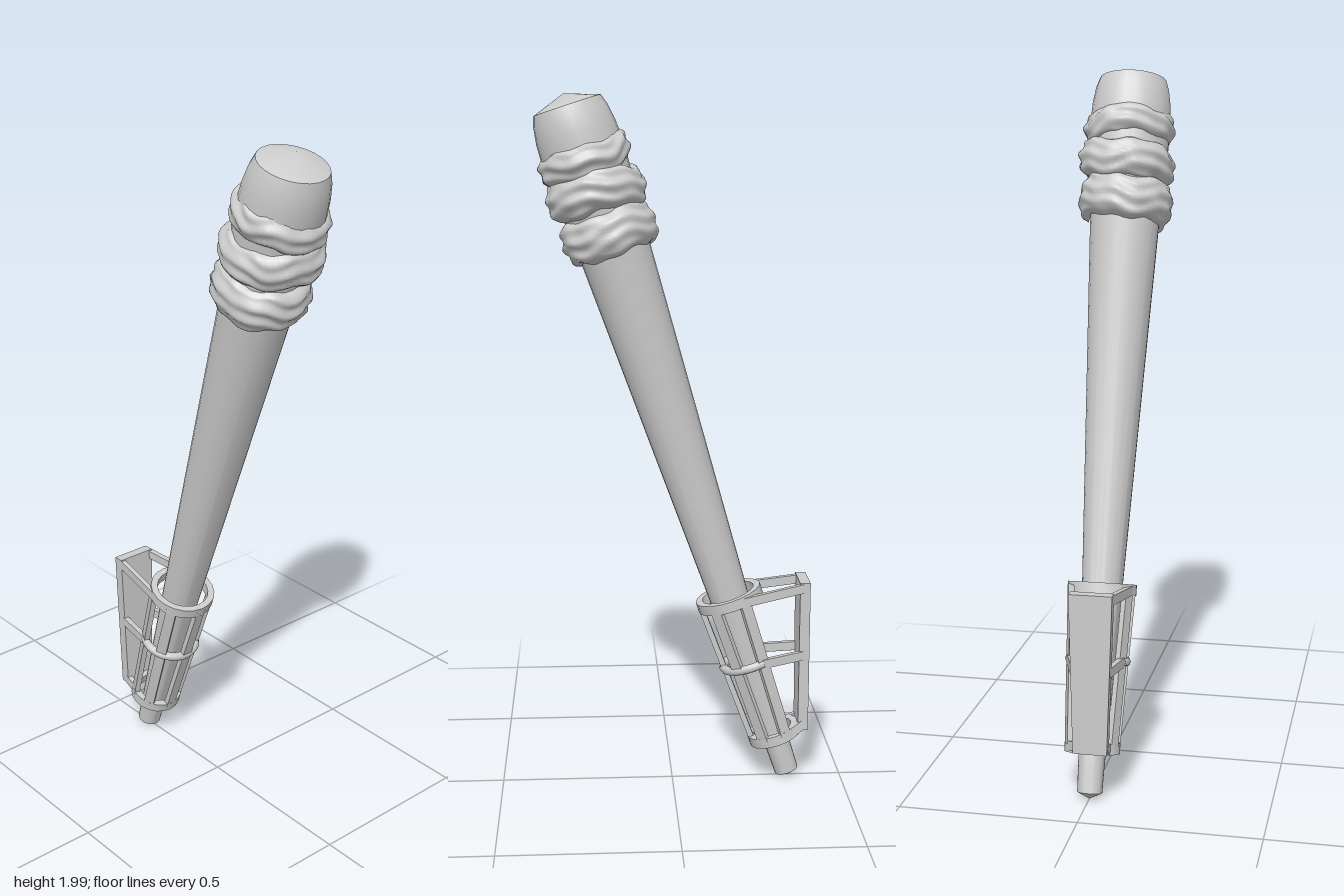
import * as THREE from 'three';
import { mergeVertices, toCreasedNormals } from 'three/addons/utils/BufferGeometryUtils.js';

const material = new THREE.MeshStandardMaterial({ color: 0xcccccc });
const TILT = 0.3128; // lean of the torch towards the front
const FOOT_Z = -0.349;

function addMesh(parent, name, geometry) {
  const mesh = new THREE.Mesh(geometry, material);
  mesh.name = name;
  parent.add(mesh);
  return mesh;
}

// Rectangular bar from a to b; "out" is the direction of its thickness
function bar(parent, name, a, b, width, depth, out) {
  const along = b.clone().sub(a);
  const length = along.length();
  const y = along.normalize();
  const x = new THREE.Vector3().crossVectors(y, out).normalize();
  const z = new THREE.Vector3().crossVectors(x, y);
  const geometry = new THREE.BoxGeometry(width, length, depth);
  geometry.applyMatrix4(new THREE.Matrix4().makeBasis(x, y, z));
  geometry.translate(...a.clone().add(b).multiplyScalar(0.5).toArray());
  return addMesh(parent, name, geometry);
}

// Cloth band: a closed lathe profile, crumpled by layered waves
function clothBand(radius, height, seed) {
  const profile = [];
  const steps = 16;
  for (let i = 0; i <= steps; i++) {
    const t = i / steps;
    const bulge = Math.pow(Math.sin(Math.PI * t), 0.4);
    profile.push(new THREE.Vector2(0.098 + (radius - 0.098) * bulge, (t - 0.5) * height));
  }
  let geometry = new THREE.LatheGeometry(profile, 56);
  geometry.deleteAttribute('uv');
  geometry.deleteAttribute('normal');
  geometry = mergeVertices(geometry, 1e-4);
  const p = geometry.attributes.position;
  for (let i = 0; i < p.count; i++) {
    const x = p.getX(i), y = p.getY(i), z = p.getZ(i);
    const a = Math.atan2(x, z);
    const fold = Math.sin(y * 150 + 2.2 * Math.sin(a * 2 + seed) + Math.sin(a * 5 + seed * 2));
    const crease = Math.sin(a * 9 + y * 70 + seed) * Math.sin(a * 4 - y * 50);
    const k = 1 + 0.028 * fold + 0.018 * crease;
    const lift = 0.005 * Math.sin(a * 3 + seed) + 0.003 * Math.sin(a * 7 - seed);
    p.setXYZ(i, x * k, y + lift, z * k);
  }
  geometry.computeVertexNormals();
  return geometry;
}

export function createModel() {
  const model = new THREE.Group();
  model.name = 'wallTorch';

  const torch = new THREE.Group();
  torch.name = 'torch';
  torch.position.z = FOOT_Z;
  torch.rotation.x = TILT;
  model.add(torch);

  // Tapered handle with a rounded head and shallow pointed ends
  const profile = [
    [0, 0.008], [0.035, 0.025], [0.037, 0.1], [0.1, 1.64], [0.111, 1.8],
    [0.117, 1.93], [0.114, 1.99], [0.107, 2.035], [0.097, 2.065], [0, 2.098],
  ].map(([r, y]) => new THREE.Vector2(r, y));
  addMesh(torch, 'handle', toCreasedNormals(new THREE.LatheGeometry(profile, 24), 0.7));

  // Cloth wrapping, each band slightly skewed
  const bands = [
    { y: 1.7, r: 0.134, h: 0.125, rx: 0.03, rz: 0.07, x: 0 },
    { y: 1.815, r: 0.139, h: 0.115, rx: -0.06, rz: 0.1, x: 0.004 },
    { y: 1.915, r: 0.131, h: 0.09, rx: 0.05, rz: -0.06, x: 0.002 },
  ];
  bands.forEach((b, i) => {
    const mesh = addMesh(torch, 'clothBand' + (i + 1), clothBand(b.r, b.h, 1 + i * 1.7));
    mesh.position.set(b.x, b.y, 0);
    mesh.rotation.set(b.rx, 0, b.rz);
  });

  // Basket of the holder, in line with the handle
  const basket = new THREE.Group();
  basket.name = 'holderBasket';
  torch.add(basket);
  const TOP = { y: 0.59, r: 0.088 }, MID = { y: 0.39, r: 0.08 }, LOW = { y: 0.15, r: 0.068 };
  const onRing = (ring, a) => new THREE.Vector3(Math.sin(a) * ring.r, ring.y, Math.cos(a) * ring.r);

  // Rims are square-section hoops
  for (const [name, ring] of [['upperRim', TOP], ['lowerRim', LOW]]) {
    const w = 0.01, h = 0.015;
    const section = [[-w, -h], [w, -h], [w, h], [-w, h], [-w, -h]]
      .map(([r, y]) => new THREE.Vector2(ring.r + r, ring.y + y));
    addMesh(basket, name, toCreasedNormals(new THREE.LatheGeometry(section, 20), 0.6));
  }

  // Middle hoop, open towards the wall
  const hoopEnd = THREE.MathUtils.degToRad(115);
  const hoopPoints = [];
  for (let i = 0; i <= 12; i++) hoopPoints.push(onRing(MID, -hoopEnd + (2 * hoopEnd * i) / 12));
  const hoop = new THREE.TubeGeometry(new THREE.CatmullRomCurve3(hoopPoints), 24, 0.013, 8);
  addMesh(basket, 'middleHoop', hoop);

  // Upright slats around the front and sides
  for (const deg of [-115, -58, 0, 58, 115]) {
    const a = THREE.MathUtils.degToRad(deg);
    const out = new THREE.Vector3(Math.sin(a), 0, Math.cos(a));
    bar(basket, 'slat', onRing(LOW, a), onRing(TOP, a), 0.032, 0.016, out);
  }

  // Upright wall plate, narrower at the bottom
  const plateShape = new THREE.Shape();
  plateShape.moveTo(-0.06, 0.16);
  plateShape.lineTo(0.035, 0.16);
  plateShape.lineTo(0.045, 0.612);
  plateShape.lineTo(-0.075, 0.612);
  plateShape.closePath();
  const plate = new THREE.ExtrudeGeometry(plateShape, { depth: 0.03, bevelEnabled: false });
  plate.translate(0, 0, -0.4);
  addMesh(model, 'wallPlate', plate);

  // Arms joining the basket to the plate on both sides
  torch.updateMatrix();
  const arms = [
    ['upperArm', TOP, 0.597, 0.052, 100],
    ['middleArm', MID, 0.392, 0.047, 112],
    ['lowerArm', LOW, 0.175, 0.04, 130],
  ];
  for (const side of [-1, 1]) {
    for (const [name, ring, plateY, halfWidth, deg] of arms) {
      const start = onRing(ring, side * THREE.MathUtils.degToRad(deg)).applyMatrix4(torch.matrix);
      const end = new THREE.Vector3(-0.013 + side * halfWidth, plateY, -0.385);
      bar(model, name, start, end, 0.026, 0.016, new THREE.Vector3(side, 0, 0));
    }
  }
  return model;
}
